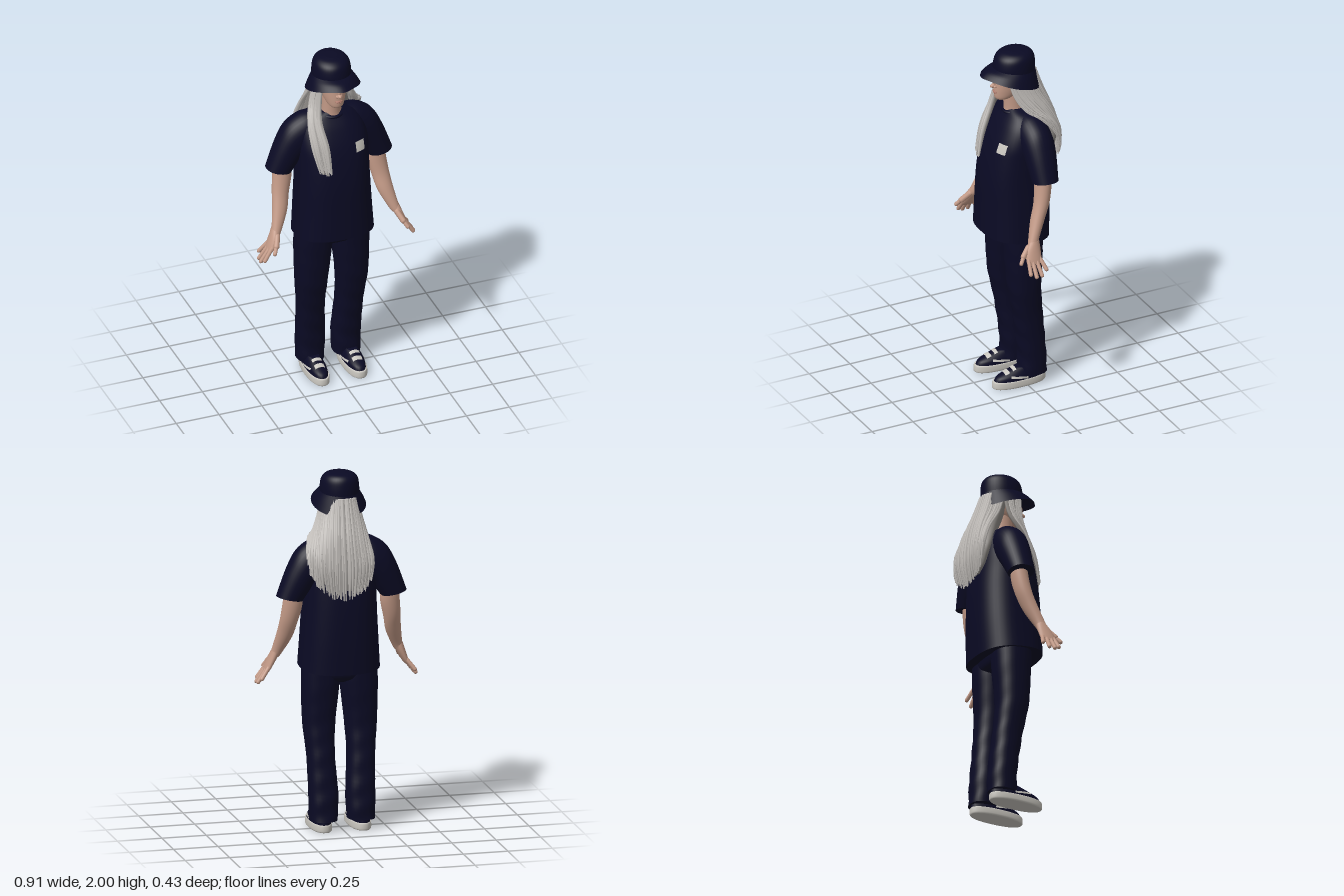
import * as THREE from 'three';
import { mergeGeometries } from 'three/addons/utils/BufferGeometryUtils.js';

const mat = (name, color, side = THREE.FrontSide) =>
  Object.assign(new THREE.MeshStandardMaterial({ color, side }), { name });

// Catmull-Rom blend through a list of equal-length number rows, t in 0..1
function spline(rows, t) {
  const f = t * (rows.length - 1), i = Math.min(Math.floor(f), rows.length - 2), s = f - i;
  const at = k => rows[Math.max(0, Math.min(rows.length - 1, k))];
  const [a, b, c, d] = [at(i - 1), at(i), at(i + 1), at(i + 2)];
  return b.map((_, k) => b[k] + 0.5 * s * (c[k] - a[k] +
    s * (2 * a[k] - 5 * b[k] + 4 * c[k] - d[k] + s * (3 * (b[k] - c[k]) + d[k] - a[k]))));
}

// Cross-section rows: centre, half axis u, half axis v
const flat = (y, cx, w, zf, zb, tilt = 0) =>
  [cx, y, (zf + zb) / 2, w, 0, 0, 0, tilt, (zf - zb) / 2];
const across = (s, [ox, oy], [ix, iy], cz, zh) =>
  [s * (ox + ix) / 2, (oy + iy) / 2, cz, s * (ox - ix) / 2, (oy - iy) / 2, 0, 0, 0, zh];

// Skin a smooth surface over cross-sections, with optional caps and vertex rule
function loft(rows, { steps = 24, sides = 32, power = 1, cap = true, warp } = {}) {
  const pos = [], idx = [];
  const bend = v => Math.sign(v) * Math.abs(v) ** power;
  for (let j = 0; j <= steps; j++) {
    const r = spline(rows, j / steps);
    for (let i = 0; i < sides; i++) {
      const a = i / sides * Math.PI * 2, c = bend(Math.cos(a)), s = bend(Math.sin(a));
      const p = [0, 1, 2].map(k => r[k] + r[k + 3] * c + r[k + 6] * s);
      if (warp) warp(p, j / steps, Math.sin(a));
      pos.push(...p);
      const n = (i + 1) % sides, A = j * sides + i, B = j * sides + n;
      if (j < steps) idx.push(A, A + sides, B, B, A + sides, B + sides);
    }
  }
  if (cap) for (const [j, flip] of [[0, 0], [steps, 1]]) {
    const base = pos.length / 3;
    pos.push(...pos.slice(j * sides * 3, (j + 1) * sides * 3), ...spline(rows, j / steps).slice(0, 3));
    for (let i = 0; i < sides; i++) {
      const a = base + i, b = base + (i + 1) % sides, c = base + sides;
      idx.push(...(flip ? [b, a, c] : [a, b, c]));
    }
  }
  // Turn the surface outward if it came out inside-out
  const P = k => new THREE.Vector3().fromArray(pos, k * 3);
  let volume = 0;
  for (let k = 0; k < idx.length; k += 3) volume += P(idx[k]).dot(P(idx[k + 1]).cross(P(idx[k + 2])));
  if (volume < 0) idx.reverse();
  const g = new THREE.BufferGeometry();
  g.setAttribute('position', new THREE.Float32BufferAttribute(pos, 3));
  g.setIndex(idx);
  g.computeVertexNormals();
  return g;
}

// Lay a thin sheet on a mesh along a direction
function drape(geo, target, dir) {
  target.updateMatrixWorld();
  const p = geo.attributes.position, v = new THREE.Vector3(), ray = new THREE.Raycaster();
  for (let i = 0; i < p.count; i++) {
    v.fromBufferAttribute(p, i);
    ray.set(v.clone().addScaledVector(dir, -1), dir);
    const hit = ray.intersectObject(target)[0];
    if (hit) v.copy(hit.point).addScaledVector(dir, -0.004);
    p.setXYZ(i, v.x, v.y, v.z);
  }
  geo.computeVertexNormals();
  return geo;
}

export function createModel() {
  const model = new THREE.Group();
  const navy = mat('navy cloth', 0x0a0a24), skin = mat('skin', 0xc39a87), lip = mat('lips', 0xac7a6c);
  const hair = mat('silver hair', 0xc0bcb8), under = mat('hair shade', 0x8c8884);
  const white = mat('off white', 0xc9c6bf), brimCloth = mat('navy brim', 0x0a0a24, THREE.DoubleSide);
  const add = (name, geo, m) => {
    const mesh = new THREE.Mesh(geo, m);
    mesh.name = name;
    model.add(mesh);
    return mesh;
  };
  const ball = (x, y, z, a, b, c) => new THREE.SphereGeometry(1, 20, 14).scale(a, b, c).translate(x, y, z);
  const limb = (a, b, r) => {
    const A = new THREE.Vector3(...a), B = new THREE.Vector3(...b), d = B.clone().sub(A);
    const q = new THREE.Quaternion().setFromUnitVectors(new THREE.Vector3(0, 1, 0), d.clone().normalize());
    return new THREE.CapsuleGeometry(r, d.length(), 5, 10).applyQuaternion(q)
      .translate(...A.add(B).multiplyScalar(0.5).toArray());
  };

  // Head and neck
  add('head', loft([flat(1.715, 0, .02, .105, .06), flat(1.73, 0, .043, .12, .01),
    flat(1.77, 0, .061, .124, -.06), flat(1.82, 0, .072, .121, -.085),
    flat(1.87, 0, .077, .118, -.09), flat(1.93, 0, .068, .095, -.08)]), skin);
  add('nose', mergeGeometries([ball(0, 1.805, .132, .012, .012, .018), ball(0, 1.83, .122, .008, .032, .014),
    ball(.011, 1.801, .124, .008, .008, .011), ball(-.011, 1.801, .124, .008, .008, .011)]), skin);
  add('lips', mergeGeometries([ball(0, 1.769, .121, .022, .005, .010), ball(0, 1.761, .120, .019, .006, .010)]), lip);
  add('neck', loft([flat(1.6, 0, .062, .065, -.06), flat(1.66, 0, .054, .062, -.05),
    flat(1.76, 0, .052, .07, -.05)]), skin);

  // Bucket hat
  add('hatCrown', loft([flat(1.86, 0, .108, .125, -.112), flat(1.92, 0, .107, .121, -.113),
    flat(1.965, 0, .098, .108, -.106), flat(1.99, 0, .074, .078, -.083),
    flat(2, 0, .035, .04, -.04)], { sides: 40 }), navy);
  add('hatBrim', loft([flat(1.895, 0, .106, .123, -.112, .01), flat(1.865, 0, .128, .155, -.123, .03),
    flat(1.822, 0, .15, .187, -.138, .05)],
  { cap: false, sides: 48, steps: 8, warp: (p, t, s) => { if (s > 0) p[2] += .018 * t * s ** 20; } }), brimCloth);

  // T-shirt
  const shirt = add('shirt', loft([flat(.91, 0, .222, .21, -.165, .02), flat(1.08, 0, .211, .205, -.172, .01),
    flat(1.25, 0, .202, .198, -.172), flat(1.38, 0, .2, .178, -.165), flat(1.48, 0, .2, .15, -.155),
    flat(1.57, 0, .18, .108, -.138), flat(1.63, 0, .135, .068, -.11), flat(1.657, 0, .068, .05, -.07)],
  { steps: 40, sides: 48, power: .8 }), navy);
  const collar = new THREE.TorusGeometry(.064, .009, 8, 32).rotateX(Math.PI / 2).rotateX(.2);
  add('collar', collar.translate(0, 1.648, .004), navy);
  add('chestPatch', drape(new THREE.PlaneGeometry(.056, .056, 6, 6).translate(.117, 1.468, 0),
    shirt, new THREE.Vector3(0, 0, -1)), white);

  // Trousers seat
  add('trouserSeat', loft([flat(1, 0, .19, .12, -.11), flat(.9, 0, .206, .117, -.105),
    flat(.85, 0, .2, .1, -.09), flat(.825, 0, .13, .05, -.05)], { power: .85 }), navy);

  for (const s of [1, -1]) {
    const side = s > 0 ? 'left' : 'right';

    // Sleeve and arm
    add(side + 'Sleeve', loft([across(s, [.1, 1.65], [.1, 1.45], -.03, .08),
      across(s, [.17, 1.637], [.145, 1.4], -.035, .092), across(s, [.25, 1.582], [.18, 1.36], -.038, .09),
      across(s, [.307, 1.48], [.2, 1.33], -.038, .083), across(s, [.364, 1.327], [.222, 1.298], -.036, .072)],
    { power: .95 }), navy);
    add(side + 'Arm', loft([across(s, [.315, 1.4], [.22, 1.37], -.04, .045),
      across(s, [.326, 1.3], [.22, 1.27], -.033, .046), across(s, [.337, 1.2], [.243, 1.17], -.015, .044),
      across(s, [.348, 1.11], [.265, 1.08], .018, .04), across(s, [.366, 1.01], [.312, .985], .058, .031),
      across(s, [.375, .98], [.328, .96], .066, .032)]), skin);

    // Hand with fingers and thumb
    const hand = [loft([across(s, [.37, 1], [.325, .98], .06, .03), across(s, [.384, .96], [.342, .945], .072, .042),
      across(s, [.402, .91], [.37, .895], .08, .046), across(s, [.41, .885], [.386, .875], .08, .042)], { steps: 10, sides: 20 })];
    [[.046, .026, .85, .43], [.068, .059, .826, .443], [.091, .092, .824, .444], [.113, .122, .84, .432]]
      .forEach(([z0, z1, y, x]) => hand.push(limb([s * .388, .905, z0], [s * x, y, z1], .0115)));
    hand.push(limb([s * .35, .965, .095], [s * .37, .925, .135], .016),
      limb([s * .37, .925, .135], [s * .388, .895, .158], .0115));
    hand.forEach(g => g.deleteAttribute('uv'));
    add(side + 'Hand', mergeGeometries(hand), skin);

    // Trouser leg
    add(side + 'TrouserLeg', loft([flat(.95, s * .105, .1, .115, -.1), flat(.82, s * .108, .103, .11, -.1),
      flat(.6, s * .117, .089, .094, -.088), flat(.42, s * .113, .077, .06, -.102),
      flat(.2, s * .104, .081, .03, -.124), flat(.06, s * .106, .076, .028, -.13)],
    { steps: 48, power: .85, warp: (p, t) => { p[2] += .003 * Math.sin(p[1] * 50 + p[0] * 20) * t; } }), navy);

    // Shoe
    add(side + 'Sole', loft([flat(0, s * .11, .055, .186, -.122), flat(.008, s * .11, .06, .191, -.127),
      flat(.036, s * .11, .059, .189, -.127), flat(.042, s * .11, .056, .186, -.124)],
    { steps: 8, power: .85, sides: 40 }), white);
    const upper = add(side + 'ShoeUpper', loft([flat(.035, s * .11, .055, .182, -.122),
      flat(.062, s * .11, .053, .165, -.121), flat(.085, s * .11, .044, .115, -.118),
      flat(.105, s * .11, .036, .06, -.11)], { power: .9 }), navy);
    [[.07, .056, .02], [.112, .056, .026]].forEach(([z, w, d], i) => add(side + 'ShoePanel' + i,
      drape(new THREE.PlaneGeometry(w, d, 6, 4).rotateX(-Math.PI / 2).translate(s * .11, .1, z),
        upper, new THREE.Vector3(0, -1, 0)), white));
    for (const e of [1, -1]) add(side + 'ShoeStripe',
      drape(new THREE.PlaneGeometry(.1, .012, 8, 2).rotateZ(e * -.15).rotateY(e * Math.PI / 2)
        .translate(s * .11, .06, .05), upper, new THREE.Vector3(-e, 0, 0)), white);
  }

  // Hair: a dark inner mass with many tapered strands over it
  add('hairMass', loft([flat(1.88, 0, .088, .02, -.098), flat(1.76, .003, .098, .0, -.125),
    flat(1.65, .015, .12, -.04, -.166), flat(1.52, .02, .155, -.1, -.196),
    flat(1.42, .015, .12, -.13, -.193), flat(1.37, .01, .07, -.15, -.187)]), under);
  let seed = 7;
  const rnd = () => (seed = seed * 16807 % 2147483647) / 2147483647 - .5;
  const strands = (keys, count, radius) => {
    const list = [];
    for (let i = 0; i < count; i++) {
      const p = spline(keys, i / (count - 1)), drop = rnd() * .035, dx = rnd() * .014, dz = rnd() * .012;
      const rows = [];
      for (let k = 0; k < 5; k++) {
        const r = radius * [.8, 1, 1.1, .95, .3][k], w = k / 4;
        rows.push([p[3 * k] + dx * w, p[3 * k + 1] + drop * w * w, p[3 * k + 2] + dz, r, 0, 0, 0, r * .3, r]);
      }
      list.push(loft(rows, { steps: 14, sides: 6 }));
    }
    return mergeGeometries(list);
  };
  add('backHair', strands([
    [-.085, 1.86, -.03, -.105, 1.75, -.07, -.125, 1.64, -.14, -.145, 1.54, -.18, -.135, 1.44, -.19],
    [-.05, 1.87, -.1, -.06, 1.77, -.13, -.07, 1.64, -.175, -.08, 1.5, -.202, -.07, 1.36, -.19],
    [.03, 1.87, -.105, .04, 1.77, -.135, .05, 1.64, -.18, .05, 1.48, -.204, .04, 1.335, -.19],
    [.085, 1.86, -.04, .11, 1.75, -.09, .135, 1.65, -.15, .15, 1.52, -.195, .135, 1.38, -.19],
    [.088, 1.86, .03, .115, 1.76, 0, .155, 1.68, -.06, .195, 1.6, -.14, .2, 1.47, -.175],
    [.08, 1.86, .07, .1, 1.76, .045, .14, 1.68, 0, .185, 1.645, -.06, .215, 1.56, -.145]], 96, .0105), hair);
  const lock = [
    [-.085, 1.86, -.01, -.118, 1.74, 0, -.148, 1.63, .06, -.148, 1.5, .125, -.125, 1.37, .17],
    [-.08, 1.86, .07, -.092, 1.74, .07, -.1, 1.63, .098, -.08, 1.5, .158, -.07, 1.35, .188]];
  add('frontLock', strands(lock, 26, .0105), hair);
  add('frontLockShade', strands(lock.map(r => r.map((v, i) => i % 3 === 2 ? v - .01 : v)), 12, .011), under);
  return model;
}
